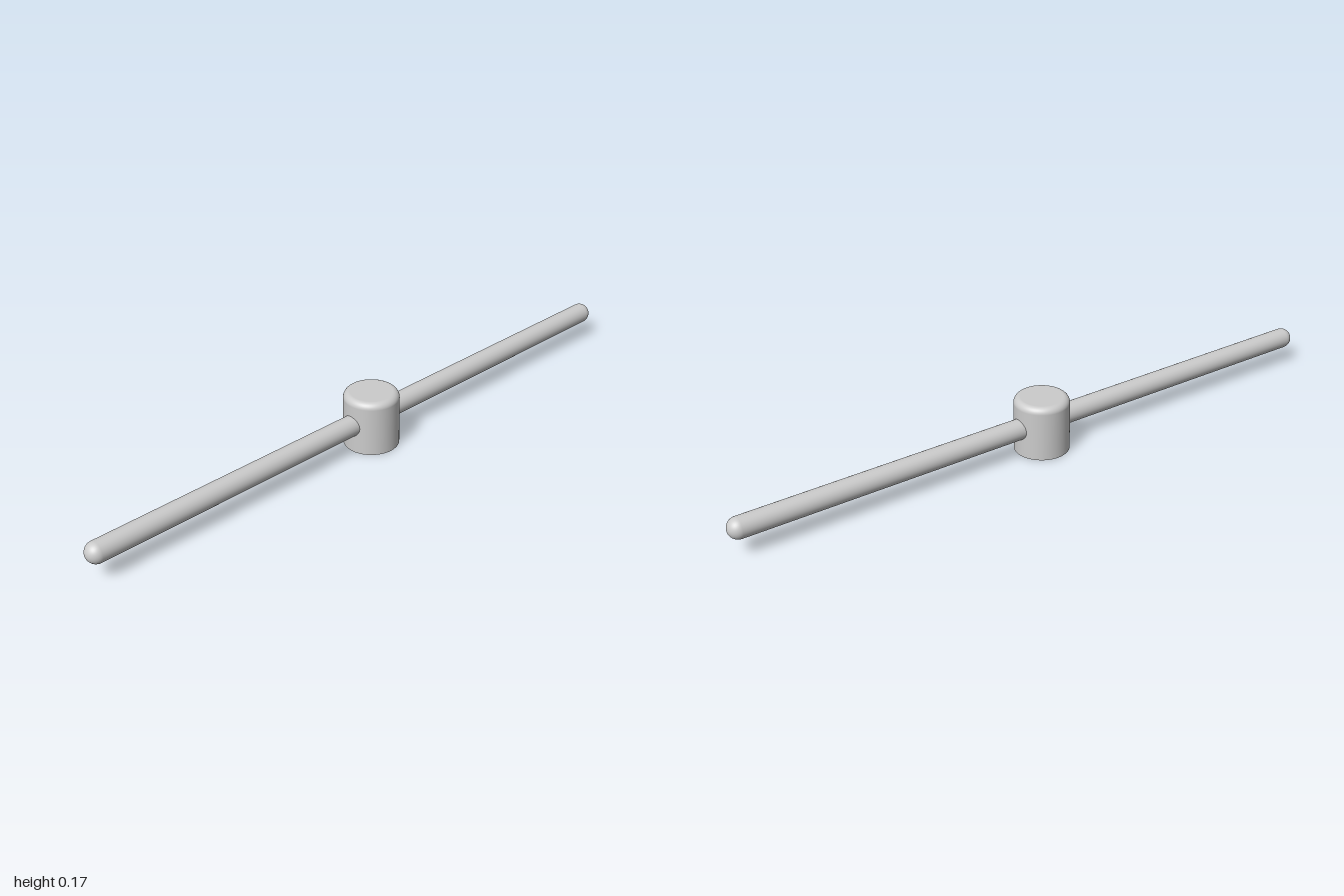
import * as THREE from 'three';

export function createModel() {
  const group = new THREE.Group();
  const material = new THREE.MeshStandardMaterial({ color: 0xcccccc, side: THREE.DoubleSide });

  // Hub: thin cap, open underneath, with a rounded top rim
  const radius = 0.083, height = 0.169, fillet = 0.02;
  const profile = [new THREE.Vector2(radius, 0)];
  for (let i = 0; i <= 8; i++) {
    const a = (i / 8) * Math.PI / 2;
    profile.push(new THREE.Vector2(
      radius - fillet + fillet * Math.cos(a),
      height - fillet + fillet * Math.sin(a)));
  }
  profile.push(new THREE.Vector2(0, height));
  const hub = new THREE.Mesh(new THREE.LatheGeometry(profile, 64), material);
  hub.name = 'hub';
  group.add(hub);

  // Crossbar: round-ended rod running through the hub from front to back
  const barRadius = 0.0315;
  const bar = new THREE.Mesh(
    new THREE.CapsuleGeometry(barRadius, 2 - 2 * barRadius, 12, 40), material);
  bar.name = 'crossbar';
  bar.rotation.x = Math.PI / 2;
  bar.position.y = 0.084;
  group.add(bar);

  return group;
}
